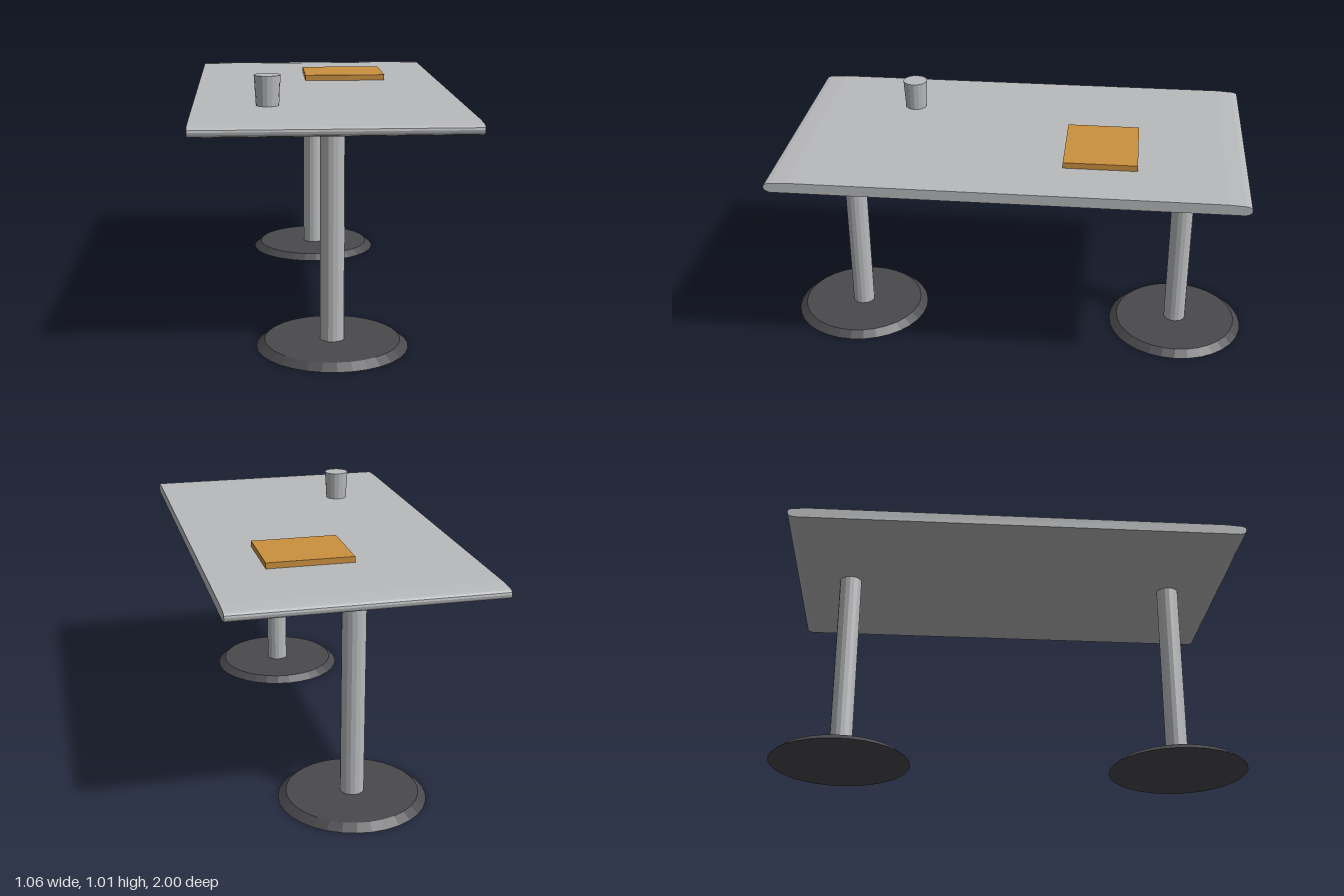
import * as THREE from 'three';

export function createModel() {
  const model = new THREE.Group();
  model.name = 'pedestalTable';

  const material = (name, color, flatShading = false) => {
    const m = new THREE.MeshStandardMaterial({ color, flatShading });
    m.name = name;
    return m;
  };
  const grey = material('lightGrey', 0xb9babc, true);
  const dark = material('darkGrey', 0x49484c, true);
  const tan = material('tan', 0xca903f, true);

  const add = (name, geometry, mat, x, y, z) => {
    const mesh = new THREE.Mesh(geometry, mat);
    mesh.name = name;
    mesh.position.set(x, y, z);
    model.add(mesh);
    return mesh;
  };

  // Tabletop: a slab with rounded front and back edges, extruded across x
  const width = 1.056;
  const edge = [[0.915, 0.853], [0.93, 0.858], [0.938, 0.866], [0.94, 0.875],
    [0.938, 0.883], [0.93, 0.889], [0.915, 0.892], [0.85, 0.896]];
  const outline = [...edge, ...edge.map(([z, y]) => [-z, y]).reverse()];
  const slab = new THREE.ExtrudeGeometry(
    new THREE.Shape(outline.map(([z, y]) => new THREE.Vector2(z, y))),
    { depth: width, bevelEnabled: false });
  slab.translate(0, 0, -width / 2).rotateY(-Math.PI / 2);
  add('tabletop', slab, grey, 0, 0, 0);

  // Two pedestals: a round column on a bevelled disc
  for (const [side, z] of [['front', 0.708], ['back', -0.708]]) {
    add(side + 'Column', new THREE.CylinderGeometry(0.047, 0.047, 0.835, 16), grey, 0, 0.4375, z);
    add(side + 'Base', new THREE.CylinderGeometry(0.26, 0.292, 0.026, 32), dark, 0, 0.013, z);
  }

  // Tapered cup and flat book on the table
  add('cup', new THREE.CylinderGeometry(0.052, 0.045, 0.12, 16), grey, -0.237, 0.955, 0.47);
  add('book', new THREE.BoxGeometry(0.352, 0.026, 0.296), tan, 0.117, 0.907, -0.357);

  return model;
}
